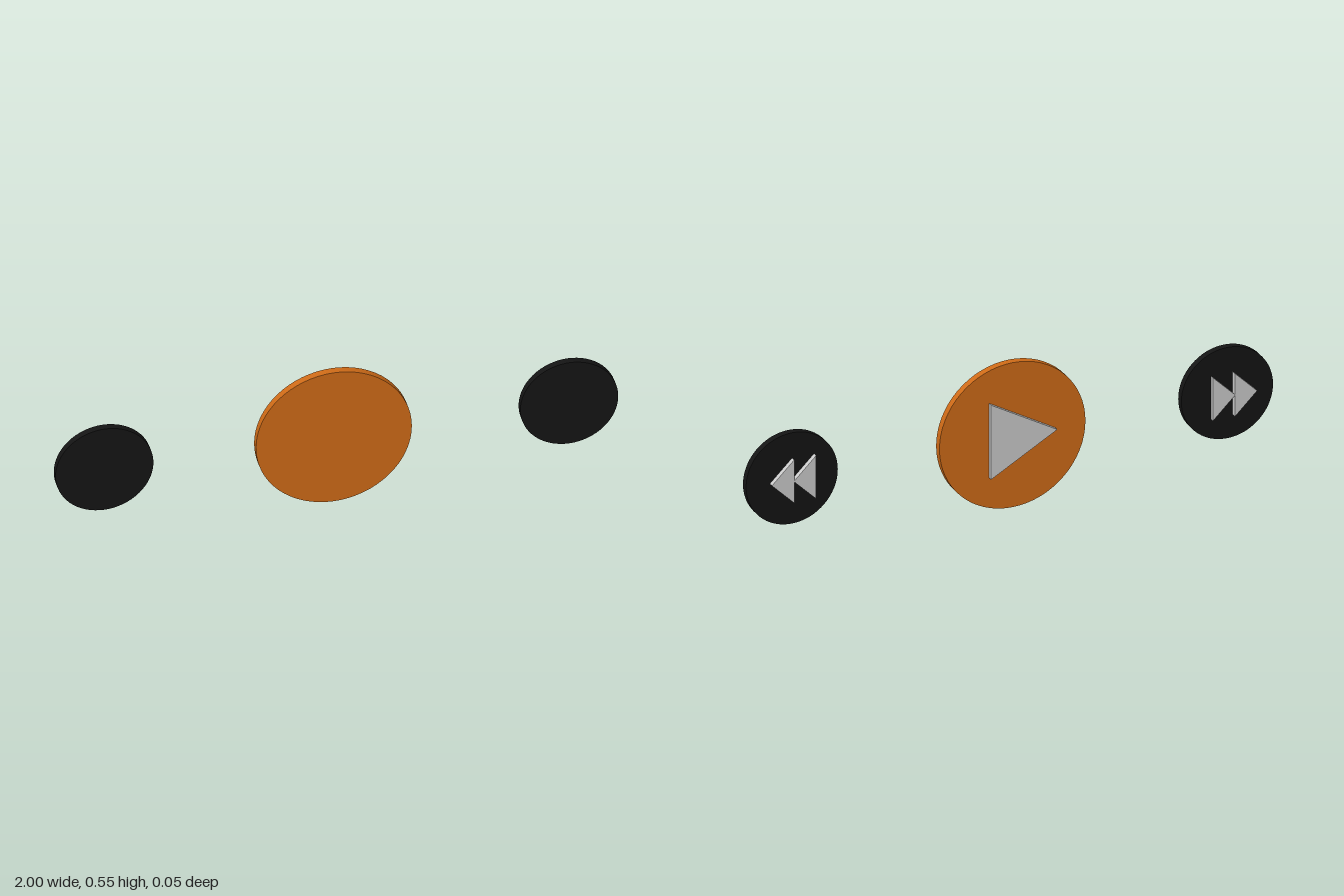
import * as THREE from 'three';

const orange = new THREE.MeshStandardMaterial({ color: 0xcf6b17 });
const black = new THREE.MeshStandardMaterial({ color: 0x141414 });
const grey = new THREE.MeshStandardMaterial({ color: 0xcccccc });
const midY = 0.277;

// Upright disc between two depths
function disc(name, x, radius, z0, z1, material) {
  const geometry = new THREE.CylinderGeometry(radius, radius, z1 - z0, 64);
  geometry.rotateX(Math.PI / 2);
  const mesh = new THREE.Mesh(geometry, material);
  mesh.name = name;
  mesh.position.set(x, midY, (z0 + z1) / 2);
  return mesh;
}

// Triangular plate with an upright base edge and a tip pointing along x
function arrow(name, baseX, tipX, y, halfHeight, z0, z1) {
  const shape = new THREE.Shape([
    new THREE.Vector2(baseX, y - halfHeight),
    new THREE.Vector2(tipX, y),
    new THREE.Vector2(baseX, y + halfHeight),
  ]);
  const geometry = new THREE.ExtrudeGeometry(shape, { depth: z1 - z0, bevelEnabled: false });
  const mesh = new THREE.Mesh(geometry, grey);
  mesh.name = name;
  mesh.position.z = z0;
  return mesh;
}

export function createModel() {
  const model = new THREE.Group();
  model.name = 'mediaButtons';

  // Central play button
  const play = new THREE.Group();
  play.name = 'playButton';
  play.add(disc('playDisc', -0.011, 0.277, -0.003, 0.025, orange));
  play.add(arrow('playArrow', 0.08, -0.172, 0.275, 0.143, -0.024, -0.007));
  model.add(play);

  // Skip buttons, each with two arrows pointing outward
  for (const [name, side, start] of [['rewindButton', 1, 0.743], ['forwardButton', -1, 0.763]]) {
    const button = new THREE.Group();
    button.name = name;
    button.add(disc('skipDisc', side * 0.826, 0.174, -0.003, 0.023, black));
    for (let i = 0; i < 2; i++) {
      const base = start + i * 0.083;
      button.add(arrow('skipArrow', side * base, side * (base + 0.085), 0.273, 0.083, -0.023, -0.005));
    }
    model.add(button);
  }
  return model;
}
